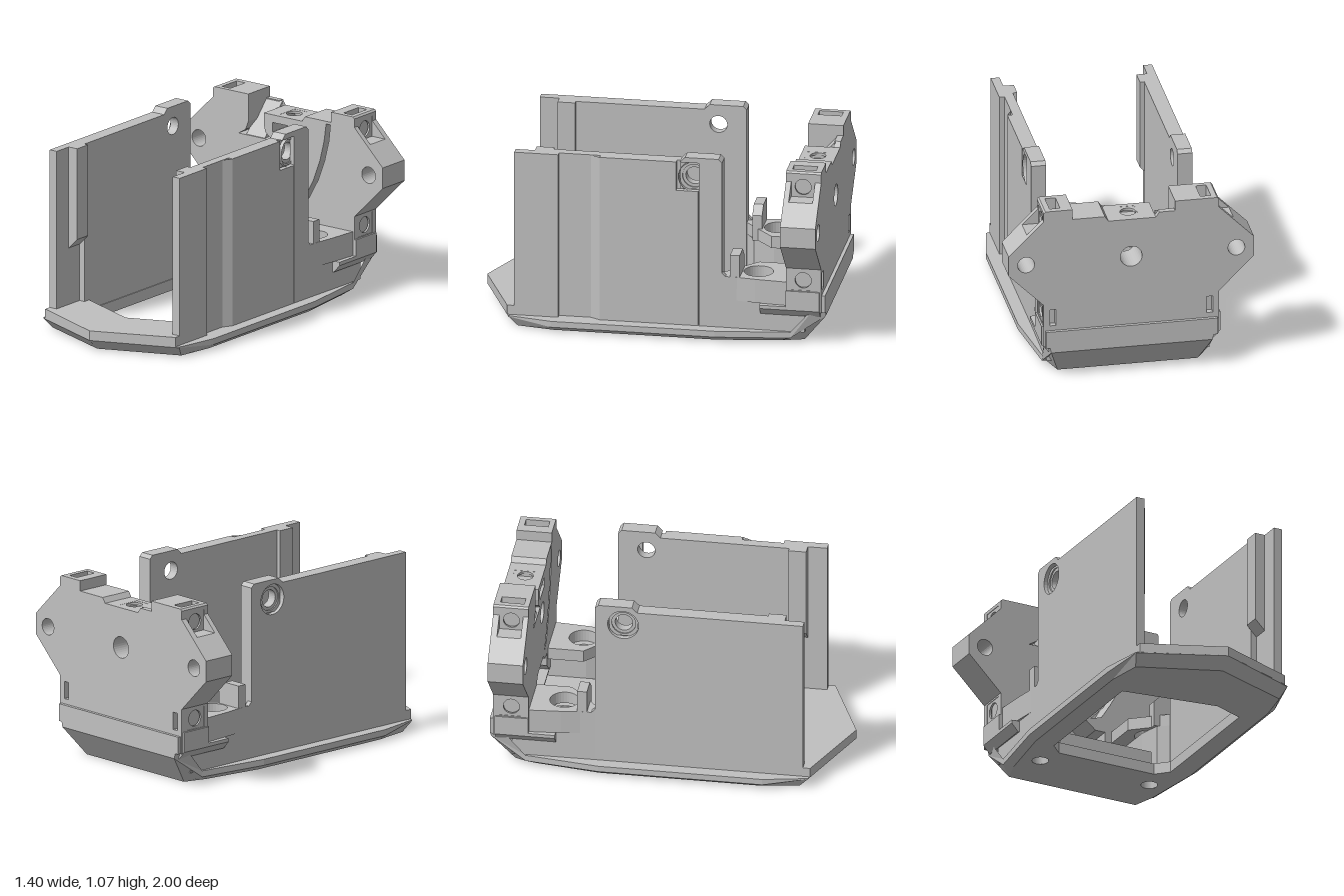
import * as THREE from 'three';

const grey = new THREE.MeshStandardMaterial({ color: 0xc0c0c0, side: THREE.DoubleSide });
grey.name = 'grey plastic';

// Outline with optional polygon holes and round holes [x, y, r]
function outline(pts, holes = [], rounds = []) {
  const shape = new THREE.Shape(pts.map(p => new THREE.Vector2(...p)));
  for (const h of holes) shape.holes.push(new THREE.Path(h.map(p => new THREE.Vector2(...p))));
  for (const [x, y, r] of rounds) shape.holes.push(new THREE.Path().absarc(x, y, r, 0, Math.PI * 2, true));
  return shape;
}
const rect = (x0, y0, x1, y1) => [[x0, y0], [x1, y0], [x1, y1], [x0, y1]];
const extrude = (shape, depth) =>
  new THREE.ExtrudeGeometry(shape, { depth, bevelEnabled: false, curveSegments: 16 });
// Slabs: Z takes (x, y) outlines, Y takes (x, z), X takes (-z, y)
const slabZ = (shape, z0, z1) => extrude(shape, z1 - z0).translate(0, 0, z0);
const slabY = (shape, y0, y1) => extrude(shape, y1 - y0).rotateX(Math.PI / 2).translate(0, y1, 0);
const slabX = (shape, x0, x1) => extrude(shape, x1 - x0).rotateY(Math.PI / 2).translate(x0, 0, 0);
const sheetY = (shape, y) => new THREE.ShapeGeometry(shape, 16).rotateX(Math.PI / 2).translate(0, y, 0);

// Flat-shaded strip of quads between two rows of points
function band(a, b, closed = true) {
  const v = [];
  const n = a.length;
  for (let i = 0; i < (closed ? n : n - 1); i++) {
    const j = (i + 1) % n;
    v.push(...a[i], ...b[i], ...b[j], ...a[i], ...b[j], ...a[j]);
  }
  const g = new THREE.BufferGeometry();
  g.setAttribute('position', new THREE.Float32BufferAttribute(v, 3));
  g.computeVertexNormals();
  return g;
}
// Completes a half loop (x >= 0) by mirroring; its ends may lie on the axis
function mirror(half) {
  const other = half.filter(p => p[0] > 0).map(([x, ...r]) => [-x, ...r]).reverse();
  return [...half, ...other];
}
const flip = (pts, s) => pts.map(([x, y]) => [x * s, y]);

export function createModel() {
  const model = new THREE.Group();
  const add = (name, geometry) => {
    const m = new THREE.Mesh(geometry, grey);
    m.name = name;
    model.add(m);
  };

  // Base tray: chamfered rim around a large opening
  const low = mirror([[0, 0, 0.93], [0.455, 0, 0.75], [0.49, 0, 0.54], [0.49, 0, -0.38], [0.44, 0, -0.74], [0.40, 0, -0.87]]);
  const mid = mirror([[0, 0.064, 1], [0.48, 0.06, 0.8], [0.53, 0.03, 0.55], [0.53, 0.03, -0.38], [0.475, 0.03, -0.80], [0.46, 0.17, -1]]);
  const top = mirror([[0, 0.065, 1], [0.48, 0.065, 0.8], [0.53, 0.065, 0.55], [0.53, 0.065, -0.38], [0.475, 0.065, -0.80], [0.49, 0.3, -1]]);
  const opening = mirror([[0, 0.58], [0.37, 0.43], [0.37, -0.39], [0.30, -0.46]]);
  const screws = [[0.345, -0.6, 0.047], [-0.345, -0.6, 0.047]];
  const flat = loop => loop.map(p => [p[0], p[2]]);
  add('baseUnderside', sheetY(outline(flat(low), [opening], screws), 0));
  add('baseChamfer', band(low, mid));
  add('baseRim', band(mid, top));
  const rimTop = mirror([[0, 1], [0.48, 0.8], [0.53, 0.55], [0.53, -0.38], [0.475, -0.8]]);
  add('baseTop', sheetY(outline(rimTop, [opening], screws), 0.065));
  add('openingEdge', band(opening.map(p => [p[0], 0, p[1]]), opening.map(p => [p[0], 0.065, p[1]])));
  for (const [x, z, r] of screws) {
    add('screwBore', new THREE.CylinderGeometry(r, r, 0.065, 24, 1, true).translate(x, 0.0325, z));
  }

  // Raised pointed front of the tray with a sloping inner edge
  add('frontLip', slabY(outline(mirror([[0, 1], [0.46, 0.81], [0.46, 0.52], [0.37, 0.52], [0, 0.67]])), 0.065, 0.12));
  add('frontLipSlope', band(
    [[-0.37, 0.065, 0.43], [0, 0.065, 0.58], [0.37, 0.065, 0.43]],
    [[-0.37, 0.12, 0.52], [0, 0.12, 0.67], [0.37, 0.12, 0.52]], false));

  // Rear floor and the ledge closing the hull behind it
  add('rearFloor', slabY(outline(rect(-0.29, -0.8, 0.29, -0.47)), 0.065, 0.14));
  add('rearLedge', slabZ(outline(rect(-0.49, 0.2, 0.49, 0.3)), -1, -0.975));

  for (const s of [1, -1]) {
    const side = s > 0 ? 'left' : 'right';
    const wallSlab = (name, shape, a, b) => add(side + name, s > 0 ? slabX(shape, a, b) : slabX(shape, -b, -a));

    // Side wall: thick body, counterbored outer skin, stepped front edge
    const crest = [[0.41, 1.05], [0.39, 1.07], [0.20, 1.07], [0.17, 1.04]];
    const wall = front => [[-front, 0.065], [0.41, 0.065], ...crest, [-front, 1.04]];
    const longWall = front => [[-front, 0.065], [0.78, 0.065], [0.78, 0.37], [0.43, 0.37], [0.41, 0.39], ...crest, [-front, 1.04]];
    const hole = r => [[0.25, 0.955, r]];
    wallSlab('WallInner', outline(wall(0.56), [], hole(0.05)), 0.375, 0.41);
    wallSlab('WallCore', outline(wall(0.77), [], hole(0.05)), 0.41, 0.43);
    if (s > 0) {
      // Vertical finger groove on one side only
      wallSlab('WallOuter', outline(longWall(-0.28), [], hole(0.088)).clone(), 0.43, 0.46);
      wallSlab('WallMiddle', outline(rect(-0.285, 0.065, 0.275, 0.87)), 0.43, 0.46);
      wallSlab('WallFrontStrip', outline(rect(-0.77, 0.065, -0.52, 1.04)), 0.43, 0.46);
      wallSlab('WallMiddleTop', outline(rect(-0.285, 0.87, 0.15, 1.04)), 0.43, 0.46);
      add('grooveSlope', band([[0.46, 0.065, 0.285], [0.46, 1.04, 0.285]], [[0.43, 0.065, 0.34], [0.43, 1.04, 0.34]], false));
    } else {
      wallSlab('WallOuter', outline(longWall(0.77), [], hole(0.088)), 0.43, 0.46);
    }
    wallSlab('BoreRing', outline(rect(0.17, 0.875, 0.33, 1.035), [], hole(0.068)), 0.43, 0.438);

    // Inner guide rib with tapered foot
    add(side + 'GuideRib', slabZ(outline(flip([[0.42, 0.44], [0.35, 0.51], [0.35, 1.04], [0.42, 1.04]], s)), 0.56, 0.66));

    // Rear corner block with undercut and countersunk screw hole
    const block = (inner, corner, back, r) => outline(
      flip([[inner, back], [inner, -0.58], corner, [0.39, -0.41], [0.46, -0.41], [0.465, back]], s),
      [], [[0.345 * s, -0.6, r]]);
    add(side + 'CornerBlock', slabY(block(0.29, [0.32, -0.46], -0.88, 0.047), 0.065, 0.3));
    add(side + 'CornerBlockTop', slabY(block(0.2, [0.33, -0.46], -0.79, 0.083), 0.3, 0.37));
    add(side + 'DeckEdge', slabY(outline(flip([[0.45, -0.41], [0.475, -0.6], [0.49, -0.79], [0.45, -0.79]], s)), 0.23, 0.37));

    // Small upright post
    add(side + 'Post', slabZ(outline(flip([[0.30, 0.3], [0.30, 0.45], [0.35, 0.5], [0.46, 0.5], [0.46, 0.3]], s)), -0.51, -0.455));

    // Outer wing with sloping underside, taller beside the back plate
    const wing = y => outline(flip([[0.44, 0.165], [0.47, 0.165], [0.51, 0.21], [0.51, y], [0.44, y]], s));
    add(side + 'Wing', slabZ(wing(0.23), -0.78, -0.63));
    add(side + 'RearCheek', slabZ(wing(0.325), -0.97, -0.78));

    // Round bolt seats in the edges of the back plate
    for (const y of [0.95, 0.39]) {
      wallSlab('BoltSeat', outline(rect(0.81, y - 0.06, 0.945, y + 0.06), [], [[0.877, y, 0.046]]), 0.485, 0.497);
    }
  }

  // Back plate in three layers: skin, pocketed core and face
  const ear = [[0.5, 0.2], [0.5, 0.46], [0.7, 0.66], [0.7, 0.78], [0.5, 0.98], [0.5, 1.03], [0.49, 1.04]];
  const coreEar = [[0.5, 0.2], [0.5, 0.33], [0.47, 0.33], [0.47, 0.45], [0.5, 0.45], [0.5, 0.46], [0.7, 0.66], [0.7, 0.78],
    [0.59, 0.89], [0.47, 0.89], [0.47, 1.01], [0.5, 1.01], [0.5, 1.03], [0.49, 1.04]];
  const other = pts => flip(pts, -1).reverse();
  const bores = [[0, 0.72, 0.062], [0.6, 0.72, 0.048], [-0.6, 0.72, 0.048]];
  const middle = [[0.335, 1.04], [0.335, 0.98], [0.15, 0.98], [0.13, 0.95], [-0.14, 0.95]];
  const boltNotch = [[0.05, 0.95], [0.05, 0.915], [-0.05, 0.915], [-0.05, 0.95]];
  const coreMiddle = [...middle.slice(0, 4), ...boltNotch, middle[4]];
  const notch = [[-0.14, 0.88], [-0.13, 0.84], [-0.08, 0.8], [-0.32, 0.8], [-0.27, 0.83], [-0.25, 0.88], [-0.25, 1.04]];
  const pocket = [[0.46, 1.04], [0.46, 0.9], [0.4, 0.9], [0.4, 1.04]];
  const cavity = [[-0.3, 0.21], [-0.3, 0.29], [-0.16, 0.41], [0.04, 0.41], [0.1, 0.36], [0.16, 0.36], [0.16, 0.28], [0.24, 0.21]];
  const arc = [[0.3, 0.965], [0.285, 0.86], [0.255, 0.74], [0.21, 0.62], [0.15, 0.51], [0.07, 0.425],
    [0.14, 0.45], [0.19, 0.53], [0.245, 0.63], [0.29, 0.75], [0.32, 0.87], [0.33, 0.965]];
  const nutSlot = rect(-0.08, 0.85, 0.08, 0.905);
  const rearSlots = [rect(0.43, 0.33, 0.465, 0.43), rect(-0.465, 0.33, -0.43, 0.43)];

  add('backPlateSkin', slabZ(outline([...ear, ...middle, [-0.16, 0.98], [-0.25, 0.98], [-0.25, 1.04], ...other(ear)],
    rearSlots, bores), -0.98, -0.945));
  add('backPlateCore', slabZ(outline([...coreEar, ...pocket, ...coreMiddle, ...notch, ...other(pocket), ...other(coreEar)],
    [cavity, arc, nutSlot], bores), -0.945, -0.81));
  add('backPlateFace', slabZ(outline([...ear, ...middle, ...notch, ...other(ear)],
    [cavity, arc, nutSlot], bores), -0.81, -0.78));

  // Sloping floor of the notch, and the bolt seat on the centre block
  add('notchSlope', slabX(outline([[0.78, 0.79], [0.95, 0.79], [0.95, 0.98]]), -0.27, -0.14));
  add('centreBoltSeat', slabY(outline(rect(-0.055, -0.945, 0.055, -0.81), [], [[0, -0.877, 0.045]]), 0.935, 0.949));

  return model;
}
